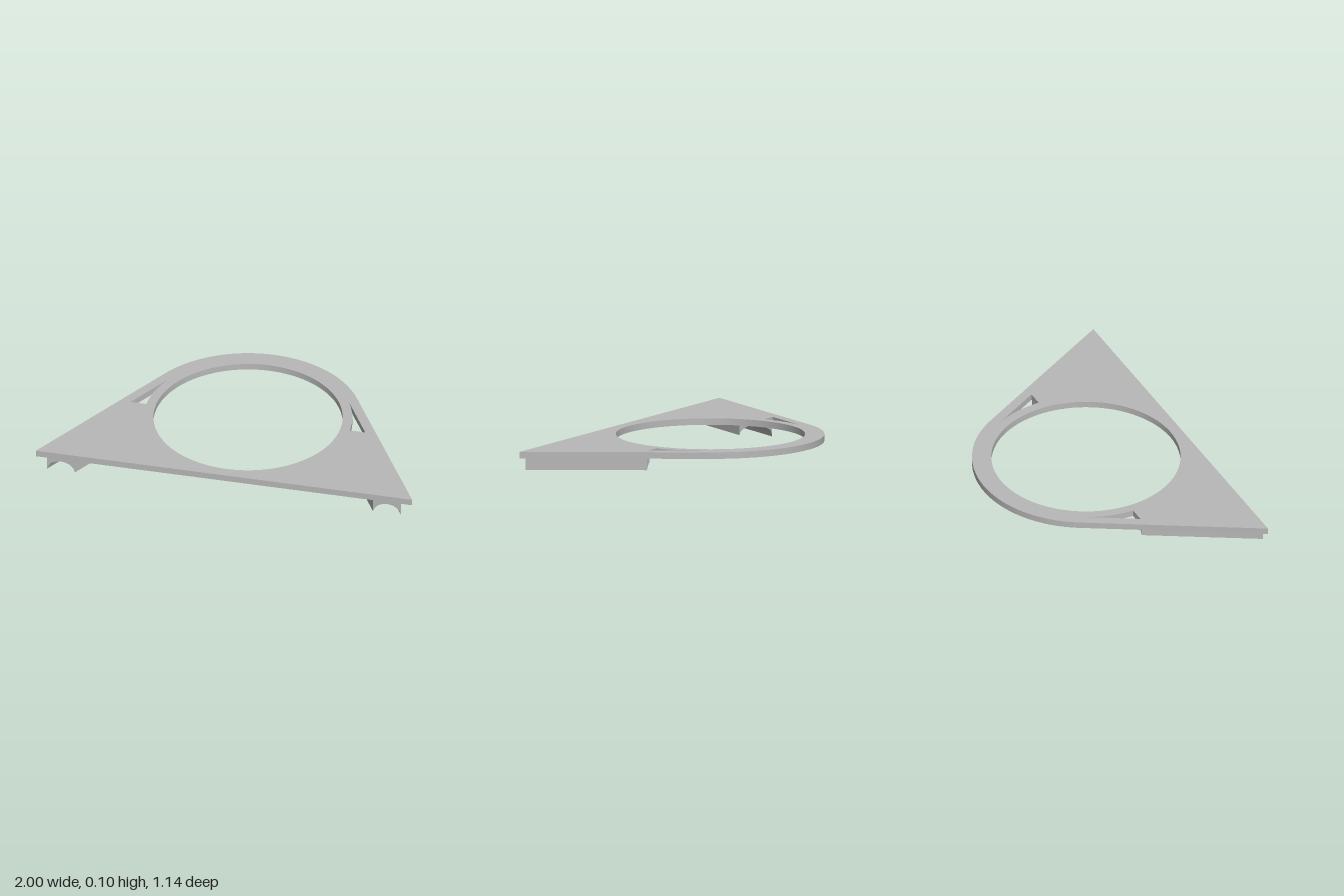
import * as THREE from 'three';
import { toCreasedNormals } from 'three/addons/utils/BufferGeometryUtils.js';

const FRONT = 0.57;       // z of the straight front edge
const CENTRE = 0.02;      // z of the ring centre
const BOTTOM = 0.069;     // underside of the plate
const THICK = 0.034;
const C30 = Math.cos(Math.PI / 6);

// Flat plate: triangle-sided outline rounded over the ring, with openings
function plateGeometry() {
  const s = new THREE.Shape(); // shape y = -z
  s.moveTo(-1, -FRONT);
  s.lineTo(1, -FRONT);
  s.absarc(0, -CENTRE, 0.59, Math.PI / 6, Math.PI * 5 / 6, false);
  s.closePath();

  const ring = new THREE.Path();
  ring.absarc(0, -CENTRE, 0.49, 0, Math.PI * 2, true);
  s.holes.push(ring);

  // Slots between the ring band and the straight side bands
  const r = 0.54;
  for (const side of [1, -1]) {
    const slot = new THREE.Path();
    const from = side > 0 ? 0 : Math.PI;
    slot.moveTo(side * r / C30, -CENTRE);
    slot.lineTo(side * r, -CENTRE);
    slot.absarc(0, -CENTRE, r, from, from + side * Math.PI / 6, side < 0);
    slot.closePath();
    s.holes.push(slot);
  }
  const g = new THREE.ExtrudeGeometry(s, { depth: THICK, bevelEnabled: false, curveSegments: 48 });
  g.rotateX(-Math.PI / 2);
  g.translate(0, BOTTOM, 0);
  return toCreasedNormals(g, 0.5);
}

// Strip of quads between two rows of points
function ribbon(a, b, flip) {
  const pos = [], idx = [];
  a.forEach((p, i) => {
    pos.push(...p, ...b[i]);
    if (i === 0) return;
    const k = 2 * i;
    const quad = [k - 2, k, k - 1, k, k + 1, k - 1];
    idx.push(...(flip ? quad.reverse() : quad));
  });
  const g = new THREE.BufferGeometry();
  g.setAttribute('position', new THREE.Float32BufferAttribute(pos, 3));
  g.setIndex(idx);
  g.computeVertexNormals();
  return g;
}

// Slanted rail with a half-round groove underneath; its back end is
// straight at the outside and follows the ring at the inside
function makeRail(side, material) {
  const x0 = 0.792, x1 = 0.941, n = 40;
  const half = (x1 - x0) / 2 * C30;
  const radius = 0.064, axisY = -0.008;
  const rows = { frontLow: [], frontTop: [], backLow: [], backTop: [] };
  for (let i = 0; i <= n; i++) {
    const t = -Math.cos(Math.PI * i / n); // closer points at the groove edges
    const x = (x0 + x1) / 2 + t * (x1 - x0) / 2;
    const across = t * half;
    const y = Math.max(0, axisY + Math.sqrt(Math.max(0, radius * radius - across * across)));
    const d = x * C30 - (FRONT - CENTRE) / 2;
    const backZ = Math.max(0.025, CENTRE - d / 2 + C30 * Math.sqrt(0.36 - d * d));
    const backX = x - (FRONT - backZ) / Math.sqrt(3);
    rows.frontLow.push([side * x, y, FRONT]);
    rows.frontTop.push([side * x, BOTTOM, FRONT]);
    rows.backLow.push([side * backX, y, backZ]);
    rows.backTop.push([side * backX, BOTTOM, backZ]);
  }
  const { frontLow, frontTop, backLow, backTop } = rows;
  const m = side < 0;
  const wall = (i, flip) => ribbon([frontLow[i], backLow[i]], [frontTop[i], backTop[i]], flip);
  const faces = {
    Groove: ribbon(backLow, frontLow, m),
    FrontEnd: ribbon(frontLow, frontTop, m),
    BackEnd: ribbon(backLow, backTop, !m),
    InnerWall: wall(0, !m),
    OuterWall: wall(n, m),
  };
  const rail = new THREE.Group();
  rail.name = side > 0 ? 'leftRail' : 'rightRail';
  for (const [name, geometry] of Object.entries(faces)) {
    const mesh = new THREE.Mesh(geometry, material);
    mesh.name = 'rail' + name;
    rail.add(mesh);
  }
  return rail;
}

export function createModel() {
  const grey = new THREE.MeshStandardMaterial({ color: 0xb8b8b8 });
  grey.name = 'grey';
  // The rail is built from open sheets
  const railGrey = grey;
  railGrey.side = THREE.DoubleSide;

  const model = new THREE.Group();
  model.name = 'ringBracket';
  const plate = new THREE.Mesh(plateGeometry(), grey);
  plate.name = 'plate';
  model.add(plate, makeRail(1, railGrey), makeRail(-1, railGrey));
  return model;
}
